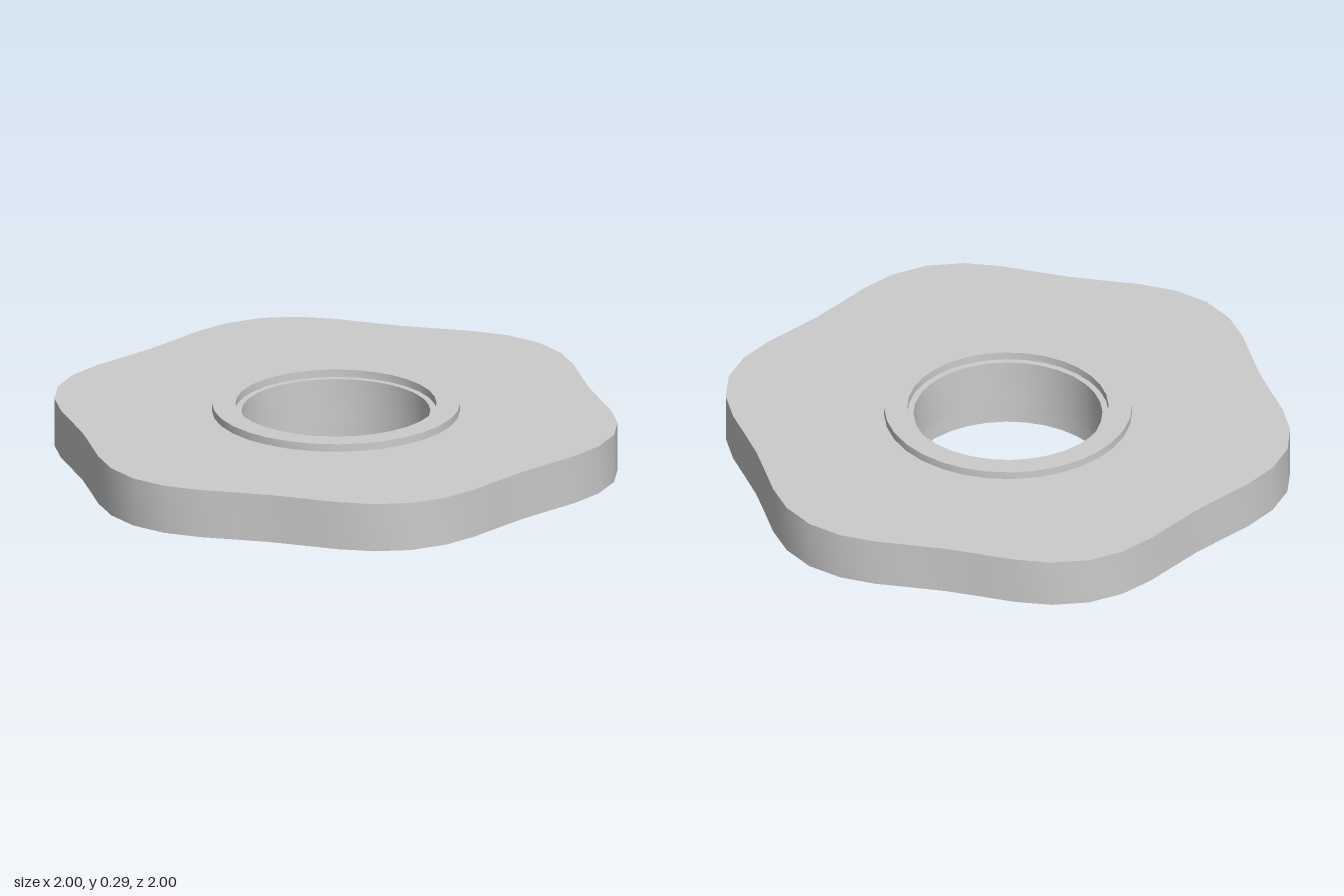
import * as THREE from 'three';
import { toCreasedNormals } from 'three/addons/utils/BufferGeometryUtils.js';

const grey = new THREE.MeshStandardMaterial({ color: 0xcccccc });
const dark = new THREE.MeshStandardMaterial({ color: 0x555555 });

// closed outline from a radius rule r(angle)
function outline(count, radius) {
  const points = [];
  for (let i = 0; i < count; i++) {
    const a = (i / count) * Math.PI * 2;
    points.push(new THREE.Vector2(Math.cos(a), Math.sin(a)).multiplyScalar(radius(a)));
  }
  return points;
}

// flat slab with a round bore, standing between two heights
function slab(name, points, boreRadius, bottom, top) {
  const shape = new THREE.Shape(points);
  shape.holes.push(new THREE.Path(outline(32, () => boreRadius)));
  const extruded = new THREE.ExtrudeGeometry(shape, { depth: top - bottom, bevelEnabled: false });
  extruded.rotateX(Math.PI / 2);
  extruded.translate(0, top, 0);
  const mesh = new THREE.Mesh(toCreasedNormals(extruded, 0.7), grey);
  mesh.name = name;
  return mesh;
}

// ring of six round pads under the plate
function padRing(name, distance, radius) {
  const ring = new THREE.Group();
  ring.name = name;
  const geometry = new THREE.CylinderGeometry(radius, radius, 0.014, 8);
  for (let i = 0; i < 6; i++) {
    const a = (i * Math.PI) / 3;
    const pad = new THREE.Mesh(toCreasedNormals(geometry, 0.9), dark);
    pad.name = 'pad';
    pad.position.set(distance * Math.cos(a), 0.083, distance * Math.sin(a));
    ring.add(pad);
  }
  return ring;
}

export function createModel() {
  const model = new THREE.Group();
  model.name = 'lobedFlange';

  // plate with six soft lobes
  const lobes = outline(48, (a) => 0.975 + 0.045 * Math.cos(6 * (a - Math.PI / 12)));
  model.add(slab('lobedPlate', lobes, 0.335, 0.085, 0.262));

  // raised rim above and collar below, both bored a little wider
  model.add(slab('topRim', outline(32, () => 0.44), 0.357, 0.262, 0.29));
  model.add(slab('bottomCollar', outline(32, () => 0.457), 0.357, 0, 0.085));

  model.add(padRing('outerPads', 0.82, 0.072));
  model.add(padRing('innerPads', 0.447, 0.06));
  return model;
}
